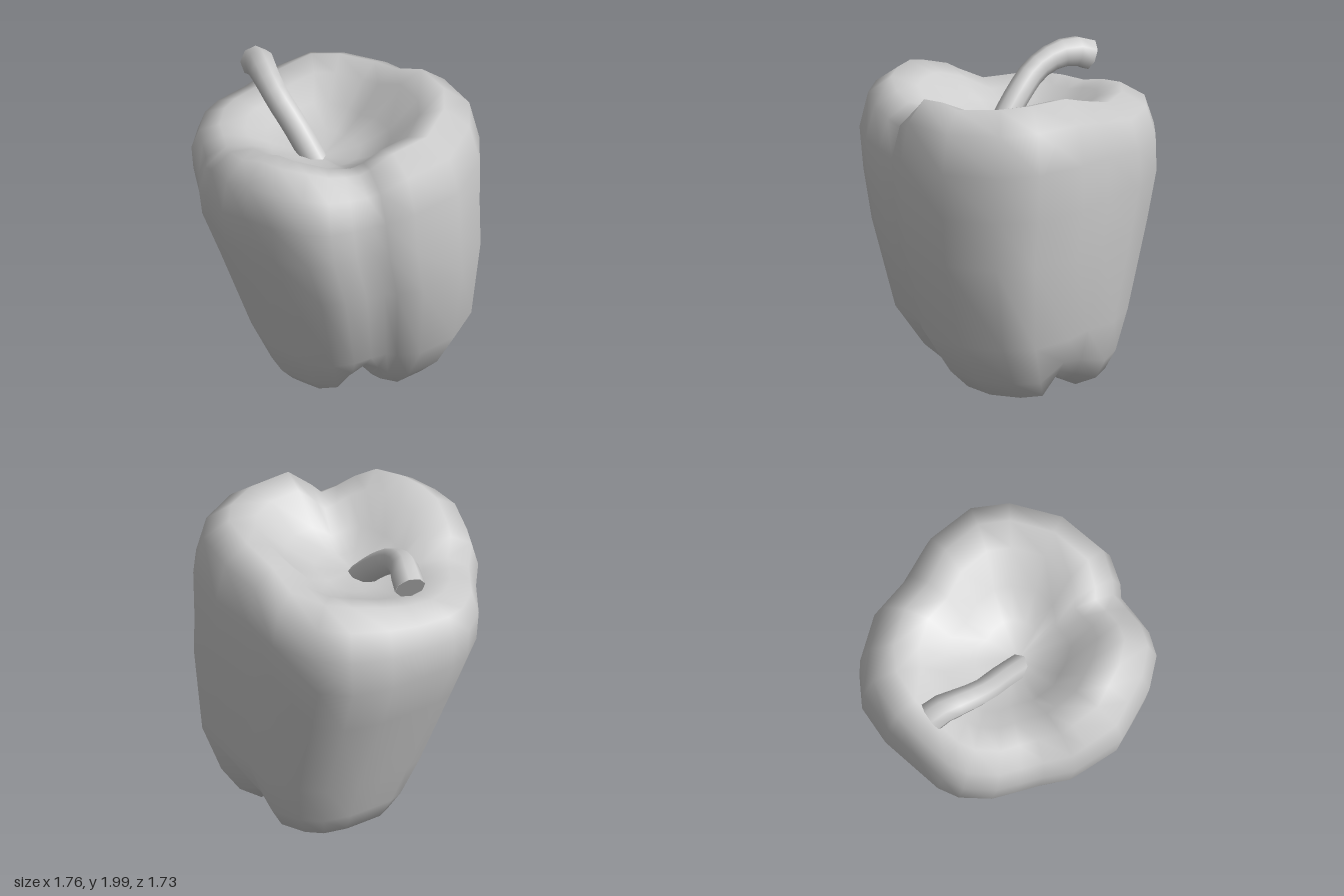
import * as THREE from 'three';
import { mergeVertices } from 'three/addons/utils/BufferGeometryUtils.js';

// Widest outline of the fruit seen from above (x, z); each point starts one column
const OUTLINE = [
  [0.875, 0.02], [0.79, 0.18], [0.73, 0.24], [0.705, 0.37], [0.67, 0.52], [0.58, 0.66], [0.39, 0.77], [0.2, 0.82],
  [0.03, 0.86], [-0.2, 0.8], [-0.3, 0.77], [-0.45, 0.65], [-0.58, 0.57], [-0.71, 0.49], [-0.84, 0.33], [-0.88, 0.19],
  [-0.875, -0.04], [-0.87, -0.26], [-0.8, -0.52], [-0.65, -0.68], [-0.37, -0.81], [-0.1, -0.81], [0.17, -0.86],
  [0.5, -0.8], [0.7, -0.64], [0.87, -0.33],
];
// Rim height by direction (degrees from +x towards +z)
const RIM = [
  [0, 1.95], [19, 1.78], [32, 1.82], [48, 1.89], [75, 1.89], [105, 1.78], [120, 1.67], [150, 1.68], [180, 1.7],
  [210, 1.81], [235, 1.82], [255, 1.84], [270, 1.94], [289, 2.0], [320, 1.97], [340, 1.94], [360, 1.95],
];
// Directions of the furrows between the three lobes, in degrees
const FURROWS = [22, 127, 268];
const SHOULDER = 1.3;
const FLOOR = 1.57;

function rimHeight(deg) {
  const k = RIM.findIndex(([d]) => d > deg);
  const [d0, h0] = RIM[k - 1];
  const [d1, h1] = RIM[k];
  return THREE.MathUtils.lerp(h0, h1, (deg - d0) / (d1 - d0));
}

function furrow(deg) {
  return FURROWS.reduce((sum, v) => {
    const d = Math.abs(((deg - v + 540) % 360) - 180);
    return sum + Math.exp(-((d / 15) ** 2));
  }, 0);
}

// Cross-sections from under the base, up the wall and over the rim into the hollow.
// y is the height, or t runs from base (0) to the rim (1)
// box = x min, x max, z min, z max; pinch, lift = furrow depth and rise; twist turns the furrows
const RINGS = [
  { y: 0.13, box: [0, 0, -0.18, -0.18], pinch: 0, lift: 0, twist: 8 },
  { y: 0.07, box: [-0.14, 0.17, -0.34, -0.03], pinch: 0.08, lift: 0.05, twist: 8 },
  { y: 0.0, box: [-0.28, 0.32, -0.54, 0.15], pinch: 0.12, lift: 0.11, twist: 8 },
  { y: 0.05, box: [-0.45, 0.48, -0.65, 0.29], pinch: 0.18, lift: 0.12, twist: 8 },
  { y: 0.18, box: [-0.51, 0.61, -0.73, 0.41], pinch: 0.12, lift: 0.09, twist: 7 },
  { y: 0.45, box: [-0.6, 0.775, -0.8, 0.55], pinch: 0.04, lift: 0, twist: 4 },
  { y: 1.0, box: [-0.79, 0.878, -0.84, 0.72], pinch: -0.015, lift: 0, twist: 0 },
  { y: 1.3, box: [-0.88, 0.878, -0.855, 0.82], pinch: -0.01, lift: 0, twist: 0 },
  { base: SHOULDER, t: 0.45, box: [-0.865, 0.875, -0.865, 0.86], pinch: 0, lift: 0, twist: 0 },
  { base: SHOULDER, t: 0.82, box: [-0.81, 0.81, -0.815, 0.82], pinch: 0.01, lift: 0, twist: 0 },
  { base: SHOULDER, t: 1.0, box: [-0.68, 0.67, -0.67, 0.68], pinch: 0.02, lift: 0, twist: 0 },
  { base: FLOOR, t: 0.85, box: [-0.54, 0.53, -0.52, 0.5], pinch: 0.03, lift: 0, twist: 0 },
  { base: FLOOR, t: 0.35, box: [-0.42, 0.37, -0.36, 0.34], pinch: 0.03, lift: 0, twist: 0 },
  { base: FLOOR, t: 0.1, box: [-0.24, 0.2, -0.19, 0.19], pinch: 0.02, lift: 0, twist: 0 },
  { y: FLOOR, box: [0, 0, 0.04, 0.04], pinch: 0, lift: 0, twist: 0 },
];

function buildBody() {
  const n = OUTLINE.length;
  const positions = [];
  const index = [];
  RINGS.forEach((ring, i) => {
    const [x0, x1, z0, z1] = ring.box;
    OUTLINE.forEach(([x, z], j) => {
      const deg = (THREE.MathUtils.radToDeg(Math.atan2(z, x)) + 360) % 360;
      const groove = furrow(deg - ring.twist);
      const shrink = 1 - ring.pinch * groove;
      const y = ring.t === undefined
        ? ring.y + ring.lift * groove
        : THREE.MathUtils.lerp(ring.base, rimHeight(deg), ring.t);
      positions.push(
        (x0 + x1) / 2 + (x / 0.878) * ((x1 - x0) / 2) * shrink,
        y,
        (z0 + z1) / 2 + (z / 0.86) * ((z1 - z0) / 2) * shrink,
      );
      if (i < RINGS.length - 1) {
        const a = i * n + j;
        const d = i * n + ((j + 1) % n);
        index.push(a, a + n, d + n, a, d + n, d);
      }
    });
  });
  let geometry = new THREE.BufferGeometry();
  geometry.setAttribute('position', new THREE.Float32BufferAttribute(positions, 3));
  geometry.setIndex(index);
  geometry = mergeVertices(geometry);
  geometry.computeVertexNormals();
  return geometry;
}

// Curved stalk that swells a little towards its cut end
function buildStem(material) {
  const path = new THREE.CatmullRomCurve3([
    [0, 1.5, 0.06], [-0.2, 1.705, 0.075], [-0.37, 1.835, 0.08],
    [-0.53, 1.9, 0.04], [-0.64, 1.902, -0.01], [-0.715, 1.868, -0.035],
  ].map((p) => new THREE.Vector3(...p)));
  const stem = new THREE.Group();
  stem.name = 'stem';

  const geometry = new THREE.TubeGeometry(path, 10, 0.08, 8);
  const { position, uv } = geometry.attributes;
  const v = new THREE.Vector3();
  for (let i = 0; i < position.count; i++) {
    const t = uv.getX(i);
    const centre = path.getPointAt(t);
    v.fromBufferAttribute(position, i).sub(centre);
    v.multiplyScalar(1 + 0.22 * THREE.MathUtils.smoothstep(t, 0.6, 1)).add(centre);
    position.setXYZ(i, v.x, v.y, v.z);
  }
  const stalk = new THREE.Mesh(geometry, material);
  stalk.name = 'stalk';

  const cap = new THREE.Mesh(new THREE.CircleGeometry(0.096, 8), material);
  cap.name = 'stalkCutEnd';
  cap.position.copy(path.getPointAt(1));
  cap.quaternion.setFromUnitVectors(new THREE.Vector3(0, 0, 1), path.getTangentAt(1));
  stem.add(stalk, cap);
  return stem;
}

export function createModel() {
  const material = new THREE.MeshStandardMaterial({ color: 0xcccccc });
  const group = new THREE.Group();
  group.name = 'bellPepper';
  const body = new THREE.Mesh(buildBody(), material);
  body.name = 'fruitBody';
  group.add(body, buildStem(material));
  return group;
}
